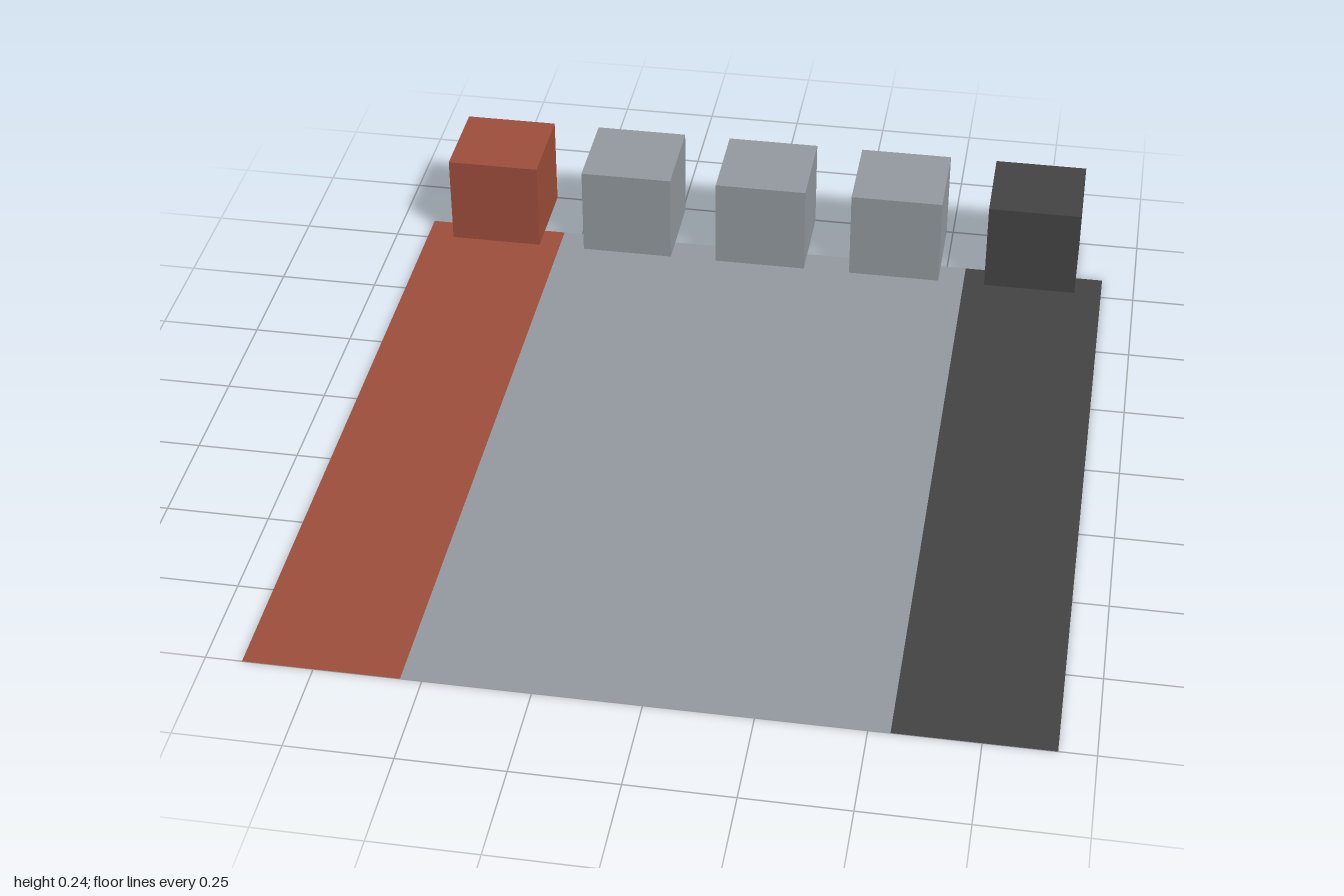
import * as THREE from 'three';

export function createModel() {
  const model = new THREE.Group();
  model.name = 'stripedMat';

  const material = (name, color) => {
    const m = new THREE.MeshStandardMaterial({ color, side: THREE.DoubleSide });
    m.name = name;
    return m;
  };
  const red = material('brickRed', 0x9e4e3b);
  const grey = material('steelGrey', 0x939a9f);
  const dark = material('charcoal', 0x444444);

  const add = (name, geometry, mat, x, y, z) => {
    const mesh = new THREE.Mesh(geometry, mat);
    mesh.name = name;
    mesh.position.set(x, y, z);
    model.add(mesh);
  };

  // Flat mat: three lengthwise stripes lying on the ground
  const back = -0.83, front = 1;
  const stripes = [
    ['rightStripe', -0.915, -0.55, red],
    ['middleStripe', -0.55, 0.55, grey],
    ['leftStripe', 0.55, 0.915, dark],
  ];
  for (const [name, x0, x1, mat] of stripes) {
    const sheet = new THREE.PlaneGeometry(x1 - x0, front - back).rotateX(-Math.PI / 2);
    add(name, sheet, mat, (x0 + x1) / 2, 0, (front + back) / 2);
  }

  // Row of five cubes straddling the back edge
  const size = 0.24, spacing = 0.3625;
  const cube = new THREE.BoxGeometry(size, size, size);
  [red, grey, grey, grey, dark].forEach((mat, i) => {
    add(`cube${i + 1}`, cube, mat, (i - 2) * spacing, size / 2, -1 + size / 2);
  });

  return model;
}
